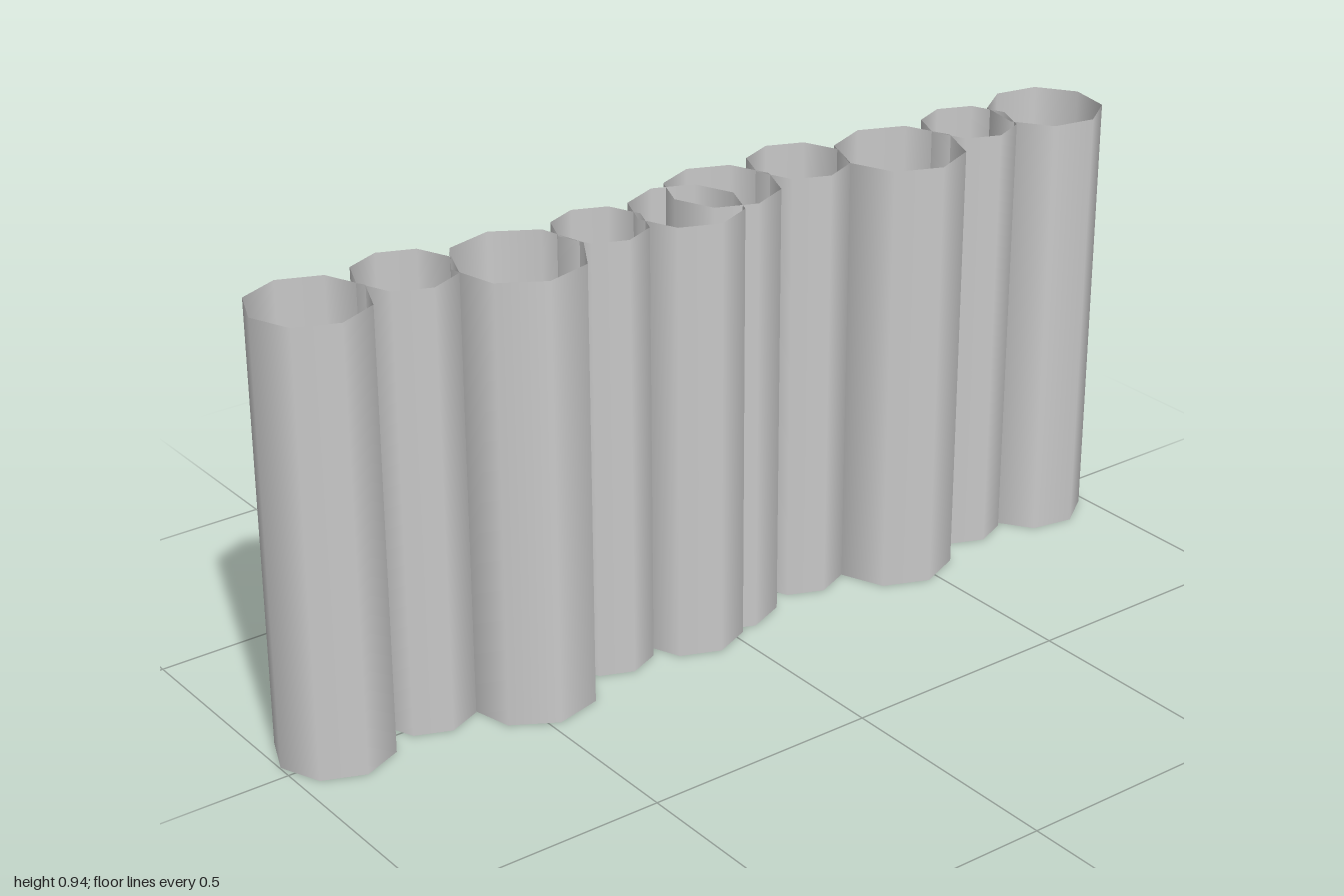
import * as THREE from 'three';

// Tubes from the model's right to its left: x, z, radius, turn about y
const TUBES = [
  [-0.877, -0.033, 0.121, 0],
  [-0.662, -0.05, 0.103, 0],
  [-0.458, 0.021, 0.136, -0.15],
  [-0.248, -0.012, 0.096, 0],
  [-0.058, 0.009, 0.115, 0],
  [0.061, -0.032, 0.117, 0],
  [0.268, -0.051, 0.105, 0],
  [0.475, 0.021, 0.134, 0],
  [0.69, -0.011, 0.099, 0],
  [0.881, 0.014, 0.122, 0.21],
];
const HEIGHT = 0.937;

export function createModel() {
  const group = new THREE.Group();
  group.name = 'tubeFence';
  const material = new THREE.MeshStandardMaterial({ color: 0xcccccc, side: THREE.DoubleSide });

  // Row of open, smooth-shaded eight-sided tubes that overlap slightly
  TUBES.forEach(([x, z, radius, turn], i) => {
    const geometry = new THREE.CylinderGeometry(radius, radius, HEIGHT, 8, 1, true);
    const tube = new THREE.Mesh(geometry, material);
    tube.name = `tube${i + 1}`;
    tube.position.set(x, HEIGHT / 2, z);
    tube.rotation.y = turn;
    group.add(tube);
  });
  return group;
}
